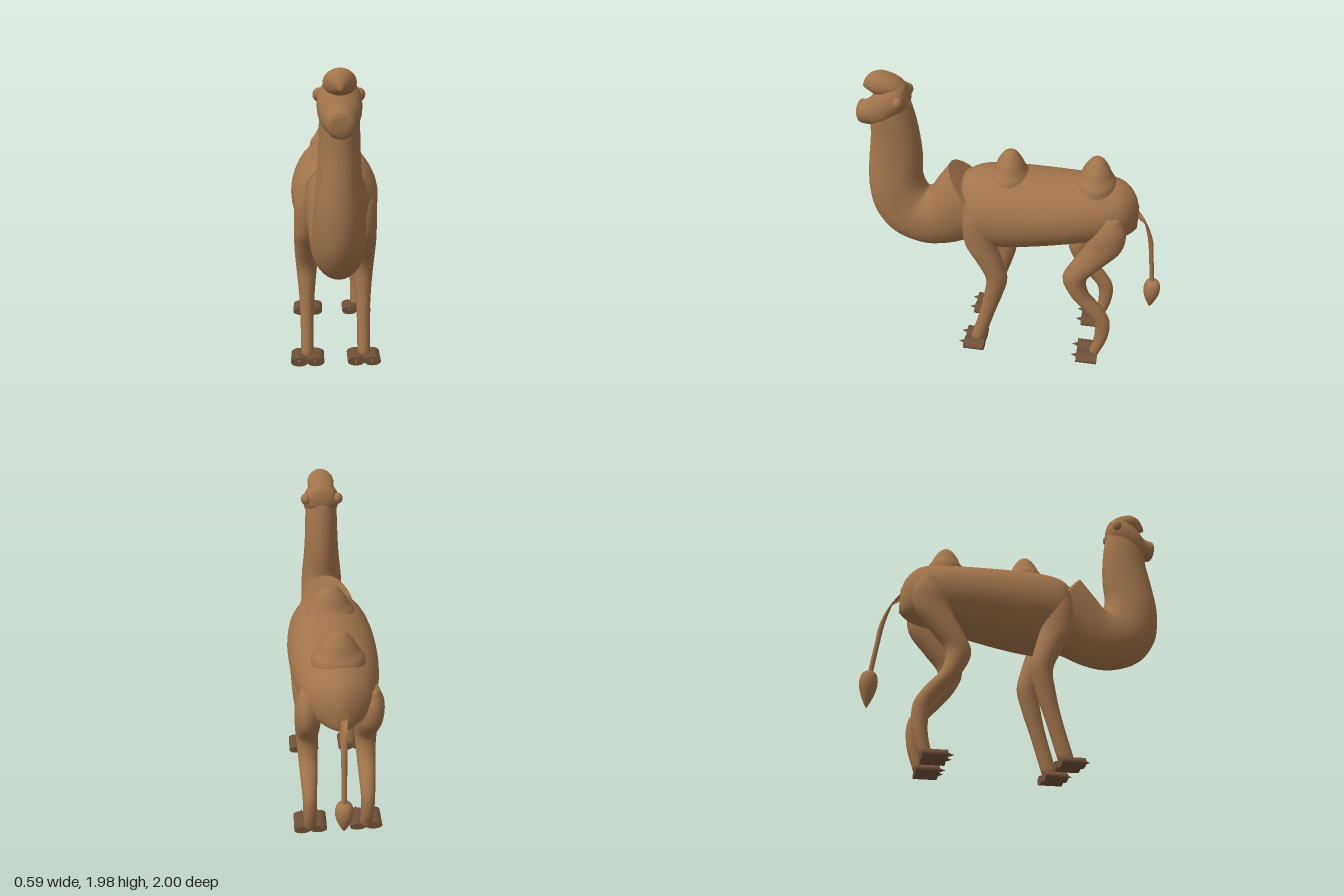
import * as THREE from 'three';

const coat = new THREE.MeshStandardMaterial({ color: 0xa1744a });
coat.name = 'tan coat';
const hoof = new THREE.MeshStandardMaterial({ color: 0x6f5039 });
hoof.name = 'dark hoof';

// Smooth closed skin through oval rings [zA, yA, zB, yB, halfWidth], where A and B
// are opposite edges in the side plane. Rings advance along X x (B - A).
function loft(rings, sides = 28, steps = 5) {
  const a = new THREE.CatmullRomCurve3(rings.map(r => new THREE.Vector3(r[4], r[1], r[0])));
  const b = new THREE.CatmullRomCurve3(rings.map(r => new THREE.Vector3(0, r[3], r[2])));
  const n = (rings.length - 1) * steps;
  const pos = [], index = [];
  for (let k = -1; k <= n + 1; k++) {
    const t = Math.min(Math.max(k / n, 0), 1);
    const p = a.getPoint(t), q = b.getPoint(t);
    const s = k < 0 || k > n ? 0 : 1; // collapsed rings close the ends
    for (let j = 0; j < sides; j++) {
      const ang = (j / sides) * Math.PI * 2, u = Math.sin(ang) * s / 2;
      pos.push(p.x * Math.cos(ang) * s,
        (p.y + q.y) / 2 + (q.y - p.y) * u,
        (p.z + q.z) / 2 + (q.z - p.z) * u);
    }
  }
  for (let k = 0; k < n + 2; k++) {
    for (let j = 0; j < sides; j++) {
      const j2 = (j + 1) % sides;
      const A = k * sides + j, B = k * sides + j2, C = A + sides, D = B + sides;
      if (k > 0) index.push(A, B, C);
      if (k < n + 1) index.push(B, D, C);
    }
  }
  const g = new THREE.BufferGeometry();
  g.setAttribute('position', new THREE.Float32BufferAttribute(pos, 3));
  g.setIndex(index);
  g.computeVertexNormals();
  return g;
}

// Leg rings from a centre line [y, z, rz, rx], listed from the ground up
const limb = path => loft(path.map(([y, z, rz, rx]) => [z + rz, y, z - rz, y, rx]), 20);

function lathe(points) {
  return new THREE.LatheGeometry(
    new THREE.SplineCurve(points.map(p => new THREE.Vector2(...p))).getPoints(24), 32);
}

export function createModel() {
  const model = new THREE.Group();
  model.name = 'camel';
  const add = (name, geometry, material = coat, parent = model) => {
    const mesh = new THREE.Mesh(geometry, material);
    mesh.name = name;
    parent.add(mesh);
    return mesh;
  };

  // Barrel body, rump to chest
  add('body', loft([
    [-0.795, 1.02, -0.795, 1.18, 0.03],
    [-0.76, 0.99, -0.76, 1.27, 0.1],
    [-0.69, 0.96, -0.69, 1.335, 0.18],
    [-0.58, 0.945, -0.58, 1.36, 0.225],
    [-0.4, 0.91, -0.4, 1.365, 0.262],
    [-0.1, 0.85, -0.1, 1.375, 0.285],
    [0.1, 0.82, 0.1, 1.38, 0.278],
    [0.25, 0.82, 0.25, 1.36, 0.25],
    [0.34, 0.86, 0.34, 1.32, 0.17],
  ], 40));

  // Shoulder collar sweeping down and up into the neck
  add('neck', loft([
    [0.02, 0.9, 0.43, 1.385, 0.2],
    [0.3, 0.825, 0.465, 1.335, 0.185],
    [0.45, 0.77, 0.52, 1.26, 0.175],
    [0.62, 0.75, 0.565, 1.19, 0.165],
    [0.83, 0.82, 0.585, 1.18, 0.155],
    [0.95, 0.97, 0.605, 1.21, 0.15],
    [0.985, 1.16, 0.62, 1.28, 0.143],
    [0.97, 1.35, 0.61, 1.41, 0.126],
    [0.935, 1.55, 0.615, 1.55, 0.115],
    [0.92, 1.68, 0.635, 1.7, 0.11],
    [0.88, 1.8, 0.66, 1.8, 0.1],
  ], 32));

  // Head with muzzle, pointed forelock and ears
  const head = new THREE.Group();
  head.name = 'head';
  model.add(head);
  add('skullAndMuzzle', loft([
    [0.66, 1.79, 0.66, 1.85, 0.04],
    [0.68, 1.74, 0.68, 1.91, 0.09],
    [0.74, 1.68, 0.74, 1.935, 0.118],
    [0.81, 1.63, 0.81, 1.91, 0.12],
    [0.87, 1.625, 0.87, 1.86, 0.105],
    [0.91, 1.63, 0.91, 1.81, 0.085],
    [0.95, 1.63, 0.95, 1.785, 0.077],
    [0.985, 1.64, 0.985, 1.78, 0.072],
    [1.0, 1.68, 1.0, 1.75, 0.045],
  ]), coat, head);
  add('forelock', loft([
    [0.68, 1.87, 0.68, 1.91, 0.04],
    [0.73, 1.84, 0.73, 1.95, 0.08],
    [0.83, 1.83, 0.83, 1.985, 0.088],
    [0.89, 1.85, 0.89, 1.97, 0.06],
    [0.93, 1.87, 0.93, 1.93, 0.025],
    [0.945, 1.875, 0.945, 1.895, 0.008],
  ]), coat, head);

  // Two bell-shaped humps
  const bell = lathe([[0.165, 1.27], [0.153, 1.35], [0.122, 1.395], [0.092, 1.45], [0.05, 1.5], [0.02, 1.513], [0, 1.515]]);
  for (const [name, z] of [['frontHump', 0.035], ['rearHump', -0.51]]) {
    const hump = add(name, bell);
    hump.position.z = z;
    hump.scale.z = 0.83;
  }

  // Mirrored legs, ears and toes
  const frontLeg = limb([
    [0.04, 0.25, 0.05, 0.042], [0.32, 0.168, 0.053, 0.045], [0.48, 0.125, 0.063, 0.055],
    [0.63, 0.1, 0.073, 0.07], [0.78, 0.15, 0.09, 0.078], [0.9, 0.2, 0.105, 0.078],
    [1.1, 0.22, 0.09, 0.07], [1.2, 0.22, 0.04, 0.035],
  ]);
  const rearLeg = limb([
    [0.04, -0.59, 0.036, 0.042], [0.2, -0.632, 0.046, 0.045], [0.35, -0.625, 0.055, 0.047],
    [0.46, -0.55, 0.068, 0.055], [0.57, -0.462, 0.066, 0.063], [0.7, -0.425, 0.08, 0.072],
    [0.82, -0.495, 0.1, 0.077], [0.97, -0.595, 0.118, 0.078], [1.1, -0.625, 0.1, 0.075],
    [1.2, -0.63, 0.045, 0.04],
  ]);
  const toe = new THREE.CylinderGeometry(0.056, 0.056, 0.146, 24).rotateX(Math.PI / 2).scale(1, 0.54, 1);
  const claw = new THREE.ConeGeometry(0.018, 0.05, 12).rotateX(Math.PI / 2);
  const earShape = new THREE.SphereGeometry(1, 20, 14).scale(0.035, 0.038, 0.032);

  for (const [side, s] of [['left', 1], ['right', -1]]) {
    add(side + 'Ear', earShape, coat, head).position.set(s * 0.108, 1.83, 0.7);
    for (const [end, leg, footZ] of [['Front', frontLeg, 0.262], ['Rear', rearLeg, -0.545]]) {
      add(side + end + 'Leg', leg).position.x = s * 0.188;
      const foot = new THREE.Group();
      foot.name = side + end + 'Foot';
      model.add(foot);
      for (const x of [0.133, 0.24]) {
        add('toe', toe, hoof, foot).position.set(s * x, 0.037, footZ);
        add('claw', claw, hoof, foot).position.set(s * x, 0.042, footZ + 0.088);
      }
    }
  }

  // Hanging tail with a tuft
  add('tail', loft([
    [-0.79, 1.1, -0.75, 1.2, 0.03],
    [-0.855, 1.05, -0.82, 1.11, 0.024],
    [-0.908, 0.93, -0.872, 0.95, 0.019],
    [-0.932, 0.76, -0.9, 0.77, 0.017],
    [-0.957, 0.57, -0.925, 0.57, 0.017],
  ], 14));
  add('tailTuft', lathe([[0, 0.36], [0.024, 0.405], [0.048, 0.47], [0.056, 0.525], [0.046, 0.575], [0.02, 0.597], [0, 0.6]]))
    .position.z = -0.944;

  return model;
}
